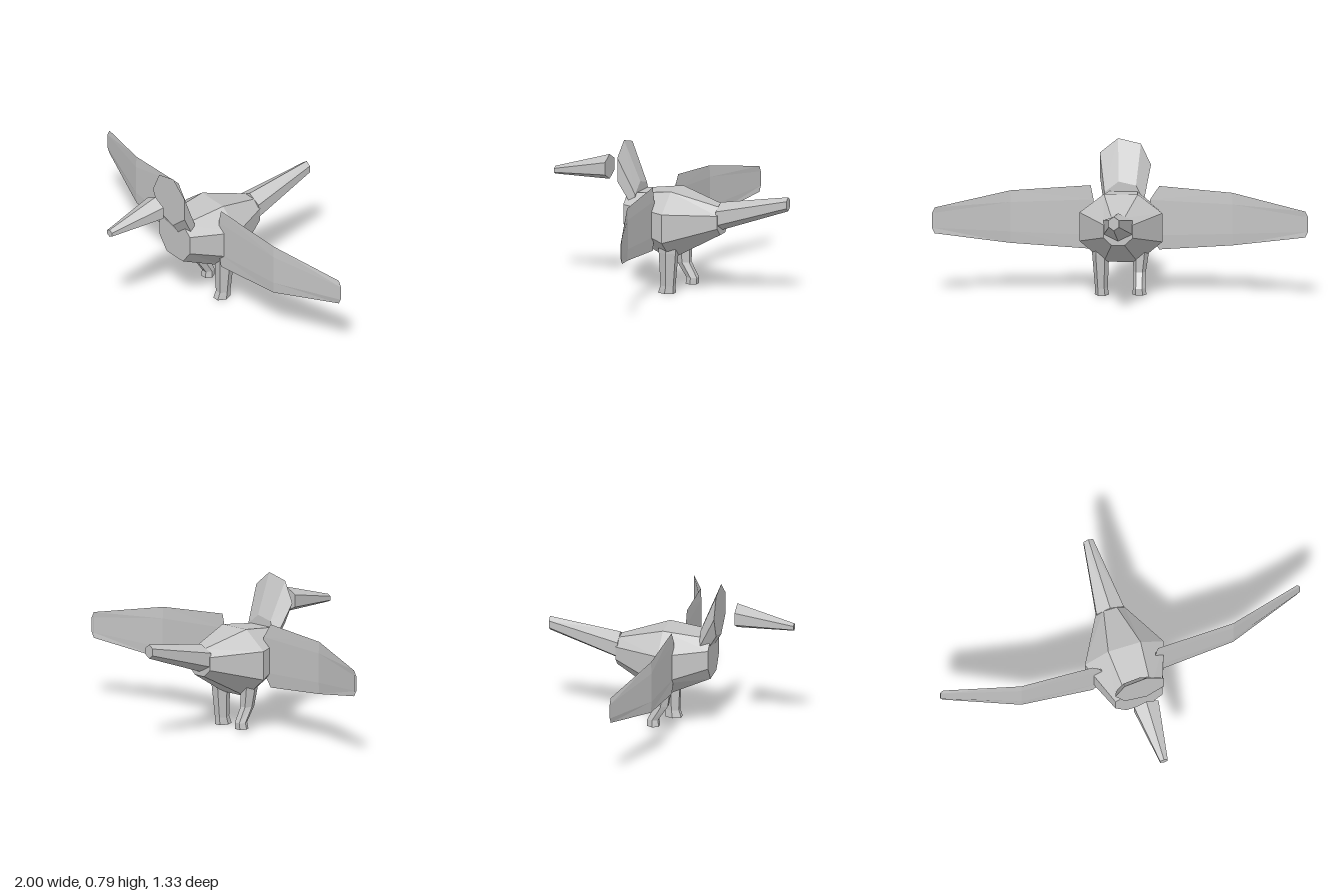
import * as THREE from 'three';

const grey = new THREE.MeshStandardMaterial({ color: 0xc4c4c4 });
grey.name = 'grey';

// Faceted, capped solid through rings of [x, y, z] points; faces always point outward.
function loft(name, rings) {
  const tris = [];
  const n = rings[0].length;
  for (let r = 0; r < rings.length - 1; r++) {
    const a = rings[r], b = rings[r + 1];
    for (let i = 0; i < n; i++) {
      const j = (i + 1) % n;
      tris.push([a[i], a[j], b[j]], [a[i], b[j], b[i]]);
    }
  }
  const first = rings[0], last = rings[rings.length - 1];
  for (let i = 1; i < n - 1; i++) {
    tris.push([first[0], first[i + 1], first[i]], [last[0], last[i], last[i + 1]]);
  }
  // signed volume tells whether the winding must be reversed
  let volume = 0;
  for (const t of tris) {
    const [a, b, c] = t.map((p) => new THREE.Vector3(...p));
    volume += a.dot(b.cross(c));
  }
  if (volume < 0) tris.forEach((t) => t.reverse());
  const geometry = new THREE.BufferGeometry();
  geometry.setAttribute('position', new THREE.Float32BufferAttribute(tris.flat(2), 3));
  geometry.computeVertexNormals();
  const mesh = new THREE.Mesh(geometry, grey);
  mesh.name = name;
  return mesh;
}

// Polygon ring facing along z.
function ringZ(sides, start, y, z, rx, ry) {
  return Array.from({ length: sides }, (_, i) => {
    const a = start + (i / sides) * Math.PI * 2;
    return [Math.cos(a) * rx, y + Math.sin(a) * ry, z];
  });
}

// Polygon ring facing along y.
function ringY(sides, x, y, z, rx, rz) {
  return Array.from({ length: sides }, (_, i) => {
    const a = (i / sides) * Math.PI * 2;
    return [x + Math.cos(a) * rx, y, z + Math.sin(a) * rz];
  });
}

// Eight-sided body section.
function bodyRing(z, w, flat, top, sideTop, sideBottom, bottom) {
  return [
    [flat, top, z], [w, sideTop, z], [w, sideBottom, z], [flat, bottom, z],
    [-flat, bottom, z], [-w, sideBottom, z], [-w, sideTop, z], [-flat, top, z],
  ];
}

// Thin wing made of lens-shaped sections, bent back toward the tip.
function wing(name, side, rootX) {
  const section = (x, midX, top, bottom, z, t) => {
    const m = (top + bottom) / 2, q = (top - bottom) * 0.28;
    return [
      [side * x, top, z],
      [side * midX, m + q, z + t], [side * midX, m - q, z + t],
      [side * x, bottom, z],
      [side * midX, m - q, z - t], [side * midX, m + q, z - t],
    ];
  };
  return loft(name, [
    section(rootX, 0.15, 0.578, 0.235, 0.043, 0.003),
    section(0.59, 0.59, 0.55, 0.266, 0.02, 0.004),
    section(0.985, 1.0, 0.478, 0.338, -0.108, 0.002),
  ]);
}

export function createModel() {
  const model = new THREE.Group();
  model.name = 'bird';
  const up = Math.PI / 2;

  model.add(loft('body', [
    bodyRing(0.225, 0.13, 0.07, 0.515, 0.465, 0.365, 0.29),
    bodyRing(-0.03, 0.22, 0.09, 0.545, 0.445, 0.29, 0.18),
    bodyRing(-0.29, 0.078, 0.035, 0.47, 0.43, 0.36, 0.32),
  ]));

  // head flares forward from the neck
  model.add(loft('head', [
    ringZ(7, Math.PI, 0.47, 0.17, 0.11, 0.107),
    ringZ(7, Math.PI, 0.65, 0.26, 0.143, 0.145),
  ]));

  // beak floats ahead of the face
  model.add(loft('beak', [
    ringZ(6, up, 0.635, 0.355, 0.078, 0.067),
    ringZ(6, up, 0.593, 0.665, 0.024, 0.021),
  ]));

  model.add(loft('tail', [
    ringZ(6, up, 0.415, -0.28, 0.088, 0.076),
    ringZ(6, up, 0.51, -0.665, 0.031, 0.038),
  ]));

  model.add(wing('leftWing', 1, 0.165), wing('rightWing', -1, 0.2));

  // straight left leg, right leg bent back at the knee
  model.add(loft('leftLeg', [
    ringY(6, 0.108, 0.28, -0.025, 0.045, 0.055),
    ringY(6, 0.108, 0.22, -0.025, 0.045, 0.055),
    ringY(6, 0.104, 0.04, -0.02, 0.034, 0.042),
    ringY(6, 0.102, 0, -0.013, 0.038, 0.05),
  ]));
  model.add(loft('rightLeg', [
    ringY(6, -0.106, 0.28, -0.025, 0.05, 0.05),
    ringY(6, -0.105, 0.22, -0.025, 0.042, 0.048),
    ringY(6, -0.1, 0.13, -0.032, 0.033, 0.04),
    ringY(6, -0.1, 0.05, -0.08, 0.033, 0.034),
    ringY(6, -0.102, 0.015, -0.077, 0.038, 0.036),
  ]));

  return model;
}
